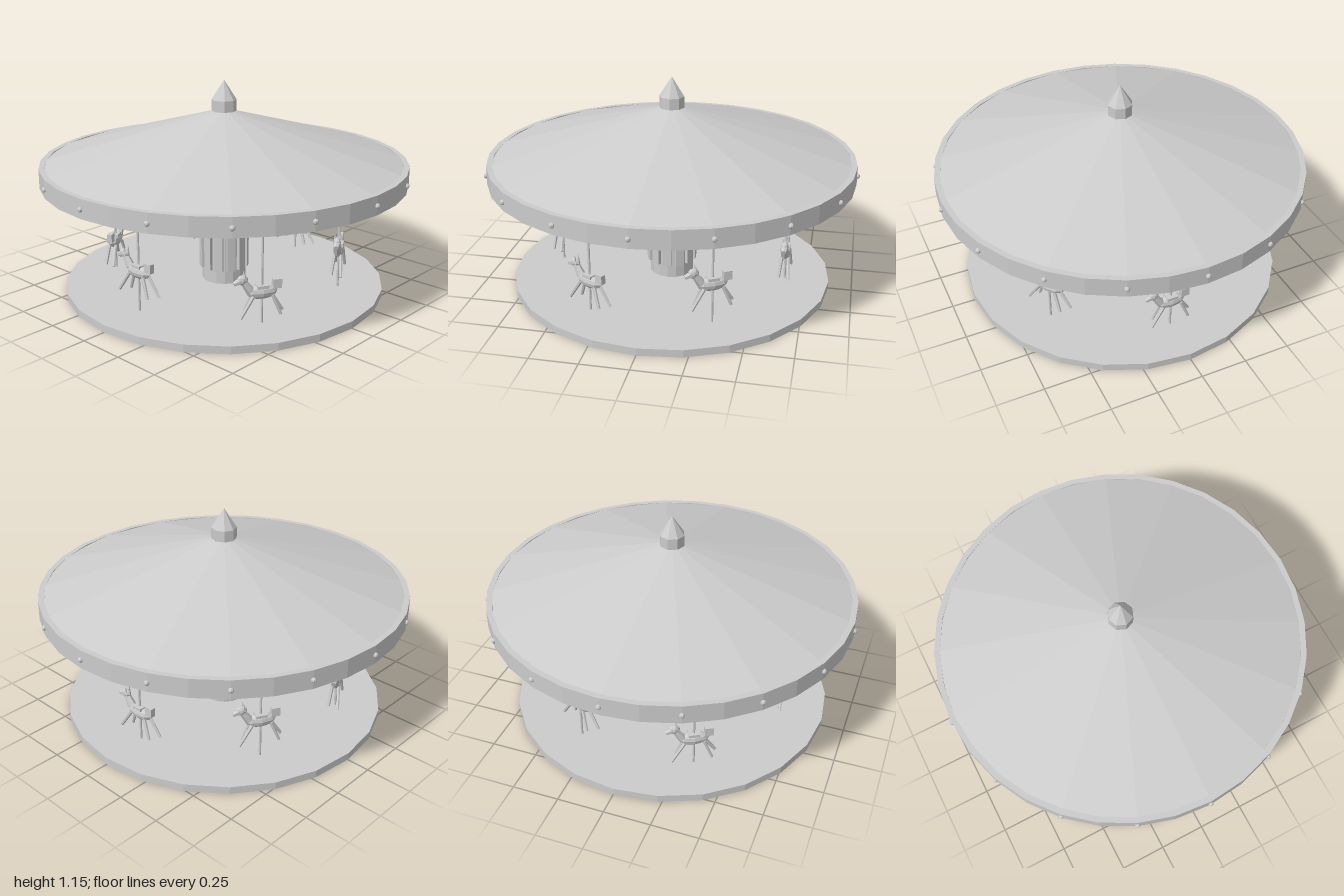
import * as THREE from 'three';

const grey = new THREE.MeshStandardMaterial({ color: 0xcccccc, flatShading: true });
grey.name = 'plain grey';

function add(parent, name, geometry, x = 0, y = 0, z = 0) {
  const mesh = new THREE.Mesh(geometry, grey);
  mesh.name = name;
  mesh.position.set(x, y, z);
  parent.add(mesh);
  return mesh;
}

// Cylinder standing between two heights
function post(parent, name, r, y0, y1, sides, rTop = r) {
  return add(parent, name, new THREE.CylinderGeometry(rTop, r, y1 - y0, sides), 0, (y0 + y1) / 2, 0);
}

// Tapered rod between two points
function rod(parent, name, a, b, rA, rB, sides = 6) {
  const from = new THREE.Vector3(...a), to = new THREE.Vector3(...b);
  const dir = to.clone().sub(from);
  const mesh = add(parent, name, new THREE.CylinderGeometry(rB, rA, dir.length(), sides));
  mesh.position.copy(from).add(to).multiplyScalar(0.5);
  mesh.quaternion.setFromUnitVectors(new THREE.Vector3(0, 1, 0), dir.normalize());
  return mesh;
}

function blob(parent, name, sx, sy, sz, x, y, z) {
  return add(parent, name, new THREE.SphereGeometry(1, 8, 6).scale(sx, sy, sz), x, y, z);
}

// Horse facing +z, centred on its body
function makeHorse() {
  const horse = new THREE.Group();
  horse.name = 'horse';
  blob(horse, 'body', 0.032, 0.036, 0.082, 0, 0, 0);
  add(horse, 'saddle', new THREE.BoxGeometry(0.05, 0.016, 0.06), 0, 0.03, 0);
  rod(horse, 'neck', [0, 0.01, 0.06], [0, 0.065, 0.098], 0.024, 0.017);
  blob(horse, 'head', 0.02, 0.026, 0.03, 0, 0.072, 0.102);
  rod(horse, 'muzzle', [0, 0.07, 0.11], [0, 0.056, 0.146], 0.019, 0.013);
  add(horse, 'tail', new THREE.BoxGeometry(0.028, 0.048, 0.045), 0, 0.037, -0.078);
  for (const side of [-1, 1]) {
    rod(horse, 'ear', [side * 0.011, 0.085, 0.092], [side * 0.013, 0.115, 0.092], 0.008, 0.001, 5);
    rod(horse, 'frontLeg', [side * 0.017, -0.015, 0.05], [side * 0.027, -0.12, 0.105 + side * 0.014], 0.01, 0.008);
    rod(horse, 'backLeg', [side * 0.017, -0.015, -0.05], [side * 0.027, -0.12, -0.105 + side * 0.014], 0.01, 0.008);
  }
  return horse;
}

export function createModel() {
  const model = new THREE.Group();
  model.name = 'carousel';

  post(model, 'platform', 0.875, 0, 0.04, 24);

  // Centre column with raised panels
  post(model, 'column', 0.12, 0.04, 0.72, 16);
  for (let i = 0; i < 12; i++) {
    const a = (i * Math.PI) / 6;
    const panel = add(model, 'columnPanel', new THREE.BoxGeometry(0.045, 0.5, 0.03),
      Math.sin(a) * 0.12, 0.365, Math.cos(a) * 0.12);
    panel.rotation.y = a;
  }

  // Canopy: roof and rim band
  add(model, 'roof', new THREE.ConeGeometry(0.972, 0.285, 16), 0, 0.8575, 0);
  const bandProfile = [[0.955, 0.62], [0.985, 0.62], [0.985, 0.72], [0.955, 0.72], [0.955, 0.62]]
    .map(([r, y]) => new THREE.Vector2(r, y));
  add(model, 'rimBand', new THREE.LatheGeometry(bandProfile, 32));

  // Bulbs around the rim
  for (let i = 0; i < 16; i++) {
    const a = (i * Math.PI) / 8;
    add(model, 'bulb', new THREE.SphereGeometry(0.014, 8, 6), Math.cos(a) * 0.986, 0.668, Math.sin(a) * 0.986);
  }

  // Finial
  post(model, 'finialBase', 0.067, 0.985, 1.045, 8);
  post(model, 'finialTip', 0.067, 1.045, 1.15, 8, 0);

  // Six horses on poles, alternating in height
  for (let i = 0; i < 6; i++) {
    const ride = new THREE.Group();
    ride.name = 'ride';
    ride.rotation.y = (-i * Math.PI) / 3;
    post(ride, 'pole', 0.0065, 0.04, 0.72, 8).position.x = 0.635;
    const horse = makeHorse();
    horse.position.set(0.635, i % 2 ? 0.255 : 0.205, 0);
    ride.add(horse);
    model.add(ride);
  }
  return model;
}
